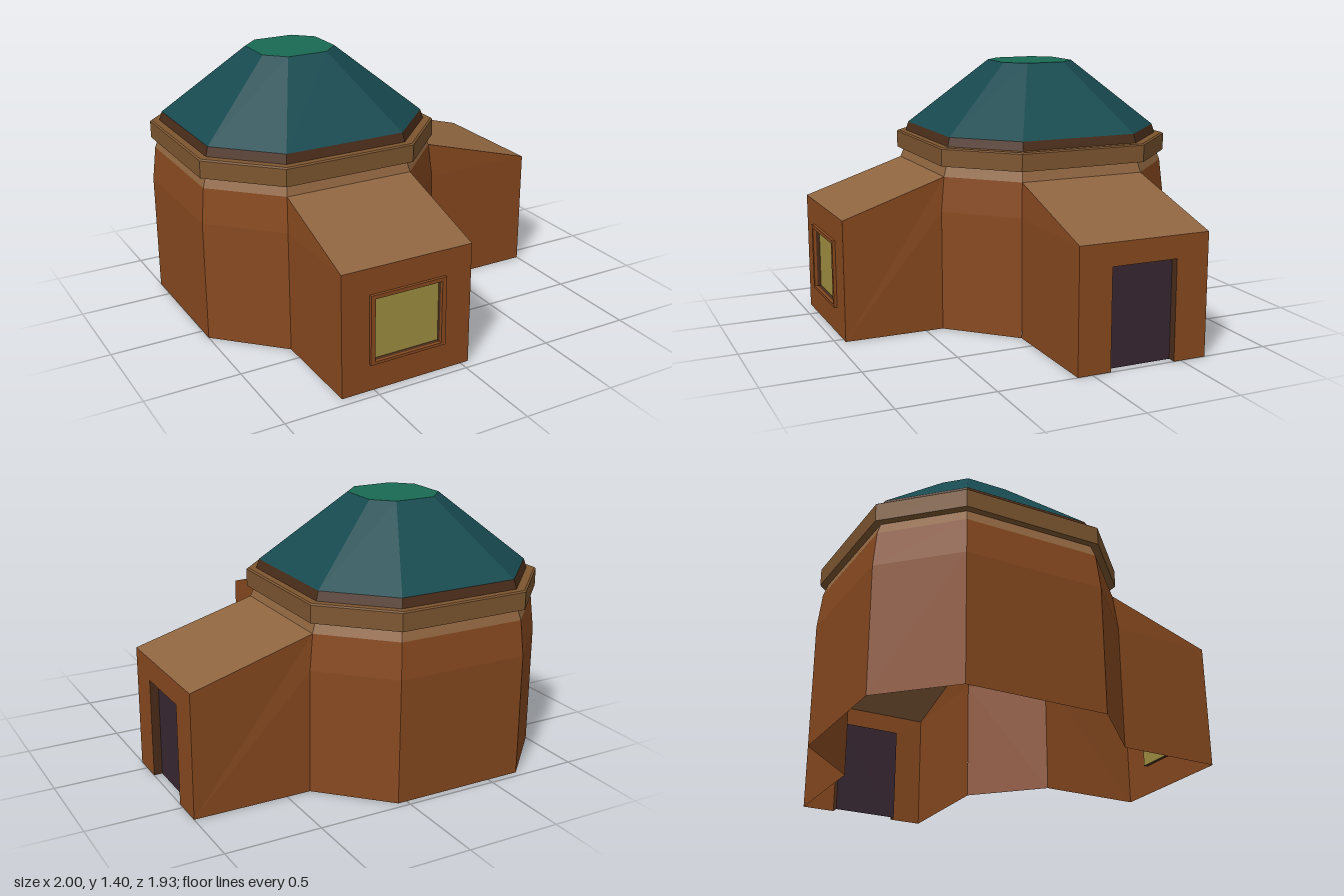
import * as THREE from 'three';

const CORNERS = [[-0.53, 1], [0.53, 1], [1, 0.53], [1, -0.53], [0.53, -1], [-0.53, -1], [-1, -0.53], [-1, 0.53]];
const EAVE = 0.65, RIDGE = 0.835, HALF = 0.36;

const mat = (color) => new THREE.MeshStandardMaterial({ color, flatShading: true, side: THREE.DoubleSide });
const clay = mat(0x87491f), roofClay = mat(0x8f6540), trim = mat(0x7d5630), skirtMat = mat(0x4a2d1a);
const tile = mat(0x174a50), capMat = mat(0x1a6a52), glass = mat(0xa08f42), doorMat = mat(0x382732);

function mesh(name, geometry, material) {
  const m = new THREE.Mesh(geometry, material);
  m.name = name;
  return m;
}

// Polygons given as corner lists, each split into a fan of triangles
function polys(list) {
  const pos = [];
  for (const p of list)
    for (let i = 1; i < p.length - 1; i++) pos.push(...p[0], ...p[i], ...p[i + 1]);
  const g = new THREE.BufferGeometry();
  g.setAttribute('position', new THREE.Float32BufferAttribute(pos, 3));
  g.computeVertexNormals();
  return g;
}

// Chamfered-square rings joined upwards; profile holds [half width, height]
function loft(profile, skip = []) {
  const faces = [];
  const at = (i, [r, y]) => [CORNERS[i % 8][0] * r, y, CORNERS[i % 8][1] * r];
  for (let k = 0; k < profile.length - 1; k++)
    for (let i = 0; i < 8; i++) {
      if (skip.includes(i)) continue;
      const lo = profile[k], hi = profile[k + 1];
      faces.push([at(i, lo), at(i + 1, lo), at(i + 1, hi), at(i, hi)]);
    }
  return polys(faces);
}

function rectPath(w, y0, y1) {
  const pts = [[-w, y0], [w, y0], [w, y1], [-w, y1]].map(([x, y]) => new THREE.Vector2(x, y));
  return new THREE.Path(pts);
}

// Inner faces of a rectangular opening, from depth z0 to z1
function reveal(w, y0, y1, z0, z1, closedBottom) {
  const c = [[w, y0], [w, y1], [-w, y1], [-w, y0]];
  const faces = [];
  for (let i = 0; i < (closedBottom ? 4 : 3); i++) {
    const a = c[i], b = c[(i + 1) % 4];
    faces.push([[...a, z1], [...b, z1], [...b, z0], [...a, z0]]);
  }
  return polys(faces);
}

function panel(w, y0, y1, z) {
  return polys([[[-w, y0, z], [w, y0, z], [w, y1, z], [-w, y1, z]]]);
}

// Lean-to wing running out along +z, open to the hall and at the floor
function wing(name, length, endShape) {
  const g = new THREE.Group();
  g.name = name;
  const walls = [];
  for (const s of [1, -1]) {
    const p = [[s * HALF, 0, length], [s * 0.363, 0, 0.685], [s * 0.363, EAVE, 0.685],
      [s * 0.353, RIDGE, 0.665], [s * HALF, EAVE, length]];
    walls.push(s > 0 ? p : p.reverse());
  }
  g.add(mesh('wingSides', polys(walls), clay));
  g.add(mesh('wingRoof', polys([[[-HALF, EAVE, length], [HALF, EAVE, length],
    [0.353, RIDGE, 0.665], [-0.353, RIDGE, 0.665]]]), roofClay));
  const end = mesh('wingEndWall', new THREE.ShapeGeometry(endShape), clay);
  end.position.z = length;
  g.add(end);
  return g;
}

export function createModel() {
  const root = new THREE.Group();
  root.name = 'domedHouse';
  const house = new THREE.Group();
  house.name = 'house';
  house.position.set(-0.315, 0, -0.28);
  root.add(house);

  // Hall walls, left open where the two wings join
  house.add(mesh('hallWalls', loft([[0.685, 0], [0.685, EAVE], [0.665, RIDGE]], [0, 2]), clay));
  house.add(mesh('hallNeck', loft([[0.665, RIDGE], [0.645, 0.893]]), roofClay));
  house.add(mesh('cornice', loft([[0.645, 0.893], [0.681, 0.893], [0.681, 0.985], [0.673, 0.992], [0.636, 0.992]]), trim));

  // Faceted dome with a flat cap
  house.add(mesh('domeSkirt', loft([[0.636, 0.992], [0.622, 1.04]]), skirtMat));
  house.add(mesh('dome', loft([[0.622, 1.04], [0.21, 1.403]]), tile));
  house.add(mesh('domeCap', polys([CORNERS.map(([x, z]) => [x * 0.21, 1.403, z * 0.21])]), capMat));

  // Front wing with a framed window
  const L1 = 1.228;
  const windowWall = new THREE.Shape(rectPath(HALF, 0, EAVE).getPoints());
  windowWall.holes.push(rectPath(0.186, 0.16, 0.493));
  const front = wing('frontWing', L1, windowWall);
  const frameShape = new THREE.Shape(rectPath(0.21, 0.145, 0.513).getPoints());
  frameShape.holes.push(rectPath(0.186, 0.16, 0.493));
  const frame = mesh('windowFrame', new THREE.ExtrudeGeometry(frameShape, { depth: 0.016, bevelEnabled: false }), clay);
  frame.position.z = L1;
  front.add(frame);
  front.add(mesh('windowReveal', reveal(0.186, 0.16, 0.493, L1 - 0.02, L1, true), skirtMat));
  front.add(mesh('windowPane', panel(0.186, 0.16, 0.493, L1 - 0.02), glass));
  house.add(front);

  // Side wing with a recessed door
  const L2 = 1.315, DW = 0.18, DH = 0.53;
  const doorWall = new THREE.Shape([[-HALF, 0], [-DW, 0], [-DW, DH], [DW, DH], [DW, 0],
    [HALF, 0], [HALF, EAVE], [-HALF, EAVE]].map(([x, y]) => new THREE.Vector2(x, y)));
  const side = wing('leftWing', L2, doorWall);
  side.add(mesh('doorReveal', reveal(DW, 0, DH, L2 - 0.045, L2, false), skirtMat));
  side.add(mesh('door', panel(DW, 0, DH, L2 - 0.045), doorMat));
  side.rotation.y = Math.PI / 2;
  house.add(side);

  return root;
}
